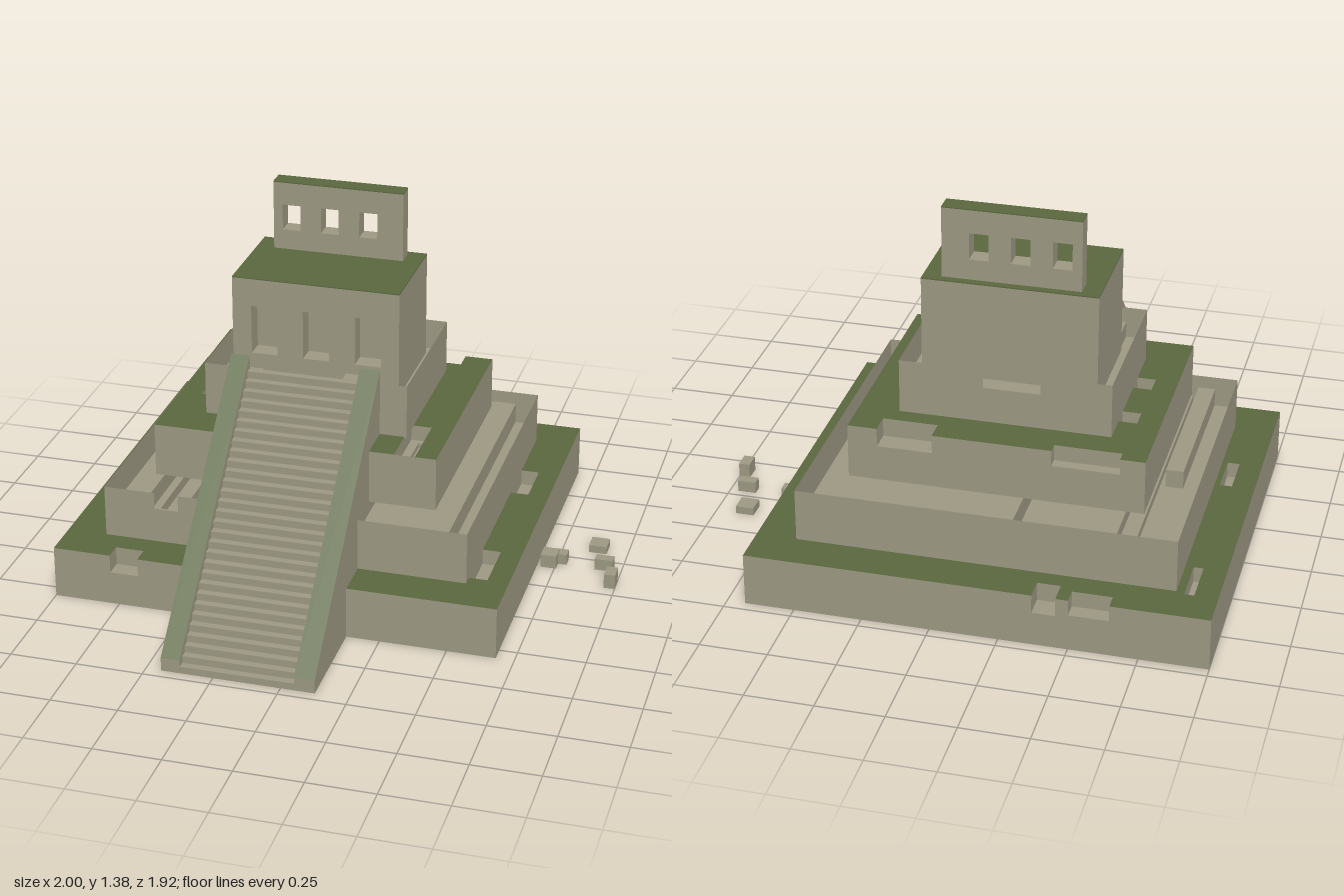
import * as THREE from 'three';

const stone = new THREE.MeshStandardMaterial({ color: 0x9c9782, side: THREE.DoubleSide });
stone.name = 'stone';
const moss = new THREE.MeshStandardMaterial({ color: 0x5a673e, side: THREE.DoubleSide });
moss.name = 'moss';

function add(parent, name, geometry, material) {
  const mesh = new THREE.Mesh(geometry, material);
  mesh.name = name;
  parent.add(mesh);
}

// Box given by its limits on each axis
function block(parent, name, x0, x1, y0, y1, z0, z1, material = stone) {
  const g = new THREE.BoxGeometry(x1 - x0, y1 - y0, z1 - z0);
  g.translate((x0 + x1) / 2, (y0 + y1) / 2, (z0 + z1) / 2);
  add(parent, name, g, material);
}

// Block standing on the ground, open underneath
function shell(parent, name, x0, x1, h, z0, z1, material = stone) {
  const g = new THREE.BoxGeometry(x1 - x0, h, z1 - z0);
  const index = [...g.index.array];
  index.splice(18, 6);
  g.setIndex(index);
  g.clearGroups();
  g.translate((x0 + x1) / 2, h / 2, (z0 + z1) / 2);
  add(parent, name, g, material);
}

function quadGeometry(quads) {
  const p = [];
  for (const [a, b, c, d] of quads) p.push(...a, ...b, ...c, ...a, ...c, ...d);
  const g = new THREE.BufferGeometry();
  g.setAttribute('position', new THREE.Float32BufferAttribute(p, 3));
  g.computeVertexNormals();
  return g;
}

// Hollow tier whose top is sunk by rectangular cuts [x0, x1, z0, z1, depth, opensRim]
function terrace(parent, name, [x0, x1, z0, z1, y0, y1], cuts, mossy) {
  const lines = (lo, hi, values) =>
    [...new Set([lo, hi, ...values])].filter(v => v >= lo && v <= hi).sort((a, b) => a - b);
  const xs = lines(x0, x1, cuts.flatMap(c => [c[0], c[1]]));
  const zs = lines(z0, z1, cuts.flatMap(c => [c[2], c[3]]));
  const cell = (i, j) => {
    if (i < 0 || j < 0 || i >= xs.length - 1 || j >= zs.length - 1) return null;
    const x = (xs[i] + xs[i + 1]) / 2, z = (zs[j] + zs[j + 1]) / 2;
    const r = { h: y1, rim: y1 };
    for (const [a, b, c, d, depth, open] of cuts)
      if (x > a && x < b && z > c && z < d) {
        r.h = y1 - depth;
        if (open) r.rim = r.h;
      }
    return r;
  };
  const faces = [], tops = [];
  // Upright face between two neighbouring cells, facing the lower one
  const wall = (a, b, pa, pb) => {
    if (!a && !b) return;
    const ha = a ? (b ? a.h : a.rim) : y0, hb = b ? (a ? b.h : b.rim) : y0;
    if (Math.abs(ha - hb) < 1e-6) return;
    const lo = Math.min(ha, hb), hi = Math.max(ha, hb);
    const [p, q] = ha > hb ? [pb, pa] : [pa, pb];
    faces.push([[p[0], lo, p[1]], [q[0], lo, q[1]], [q[0], hi, q[1]], [p[0], hi, p[1]]]);
  };
  for (let i = 0; i < xs.length; i++) for (let j = 0; j < zs.length; j++) {
    const c = cell(i, j);
    if (j < zs.length - 1) wall(cell(i - 1, j), c, [xs[i], zs[j]], [xs[i], zs[j + 1]]);
    if (i < xs.length - 1) wall(cell(i, j - 1), c, [xs[i + 1], zs[j]], [xs[i], zs[j]]);
    if (!c) continue;
    (mossy && c.h === y1 ? tops : faces).push([[xs[i], c.h, zs[j]], [xs[i], c.h, zs[j + 1]],
      [xs[i + 1], c.h, zs[j + 1]], [xs[i + 1], c.h, zs[j]]]);
  }
  if (mossy) {
    // Underside of the thick mossy deck
    const y = y0 + 0.1;
    faces.push([[x0, y, z0], [x1, y, z0], [x1, y, z1], [x0, y, z1]]);
    add(parent, name + 'Moss', quadGeometry(tops), moss);
  }
  add(parent, name, quadGeometry(faces), stone);
}

// Upright slab in the xy plane with rectangular openings [x0, x1, y0, y1]
function piercedWall(parent, name, [x0, x1, y0, y1, z0, z1], openings) {
  const path = (P, a, b, c, d) => {
    const s = new P();
    s.moveTo(a, c); s.lineTo(b, c); s.lineTo(b, d); s.lineTo(a, d); s.closePath();
    return s;
  };
  const shape = path(THREE.Shape, x0, x1, y0, y1);
  for (const o of openings) shape.holes.push(path(THREE.Path, ...o));
  const g = new THREE.ExtrudeGeometry(shape, { depth: z1 - z0, bevelEnabled: false });
  g.translate(0, 0, z0);
  add(parent, name, g, stone);
}

// Uneven paving strips running front to back
const strips = (edges, depths, z0, z1) =>
  depths.map((d, i) => [edges[i], edges[i + 1], z0, z1, d, false]);

export function createModel() {
  const model = new THREE.Group();
  model.name = 'steppedPyramid';

  // Four tiers, mossy and bare by turns
  terrace(model, 'firstTier', [-1, 0.682, -0.96, 0.557, 0, 0.2], [
    [-0.645, -0.5, -0.96, -0.9, 0.06, true], [-0.455, -0.37, -0.96, -0.875, 0.07, true],
    [-0.915, -0.88, -0.82, -0.64, 0.06], [-0.915, -0.87, -0.055, 0.115, 0.06],
    [0.533, 0.602, -0.53, -0.335, 0.06], [0.533, 0.602, 0.14, 0.36, 0.06],
    [-0.78, -0.672, 0.49, 0.557, 0.07, true]], true);
  terrace(model, 'secondTier', [-0.85, 0.533, -0.807, 0.403, 0.2, 0.4], [
    ...strips([-0.85, -0.68, -0.65, -0.61, -0.56, -0.25, 0.095, 0.445, 0.533],
      [0.12, 0.09, 0.13, 0.08, 0.12, 0.04, 0.05, 0.13], -0.807, 0.403),
    [-0.765, -0.7, -0.25, 0.403, 0.05],
    [-0.655, -0.563, 0.395, 0.403, 0.065, true]], false);
  terrace(model, 'thirdTier', [-0.7, 0.378, -0.655, 0.252, 0.4, 0.605], [
    [-0.61, -0.365, -0.655, -0.612, 0.06, true], [0.068, 0.27, -0.655, -0.575, 0.07, true],
    [-0.615, -0.547, -0.388, -0.313, 0.06], [-0.615, -0.547, -0.128, -0.048, 0.06],
    [0.22, 0.298, 0, 0.252, 0.06], [0.253, 0.293, 0.02, 0.2, 0.08]], true);
  terrace(model, 'fourthTier', [-0.547, 0.228, -0.507, 0.102, 0.6, 0.81], [
    ...strips([-0.547, -0.47, -0.36, -0.29, -0.04, 0.06, 0.13, 0.228],
      [0.12, 0.06, 0.11, 0.07, 0.04, 0.08, 0.12], -0.507, 0.102),
    [-0.29, -0.08, -0.507, -0.44, 0.07, true]], false);

  // Temple with three recessed doorways
  const temple = new THREE.Group();
  temple.name = 'temple';
  model.add(temple);
  block(temple, 'templeBody', -0.48, 0.162, 0.7, 1.108, -0.44, -0.105);
  piercedWall(temple, 'templeFront', [-0.48, 0.162, 0.7, 1.108, -0.105, -0.032],
    [-0.407, -0.207, -0.007].map(x => [x, x + 0.1, 0.81, 1]));
  block(temple, 'templeRoofMoss', -0.48, 0.162, 1.108, 1.112, -0.44, -0.032, moss);

  // Roof comb with three windows
  piercedWall(temple, 'roofComb', [-0.412, 0.093, 1.11, 1.378, -0.412, -0.343],
    [-0.377, -0.227, -0.077].map(x => [x, x + 0.07, 1.19, 1.29]));
  block(temple, 'roofCombMoss', -0.412, 0.093, 1.378, 1.382, -0.412, -0.343, moss);

  // Stairway
  const stairs = new THREE.Group();
  stairs.name = 'stairway';
  model.add(stairs);
  const count = 30, rise = 0.81 / count, run = 0.857 / count;
  for (let i = 0; i < count; i++)
    shell(stairs, 'step', -0.372, 0.05, (i + 1) * rise, 0.96 - (i + 1) * run, 0.96 - i * run);

  // Sloping side walls with mossy tops, open underneath
  const front = 0.96, back = 0.103, low = 0.052, high = 0.862;
  for (const [x0, x1] of [[-0.443, -0.372], [0.05, 0.126]]) {
    const side = x => [[x, 0, front], [x, 0, back], [x, high, back], [x, low, front]];
    const [a, b] = [side(x0), side(x1)];
    add(stairs, 'sideWall', quadGeometry([
      [...a].reverse(), b, [a[0], b[0], b[3], a[3]], [b[1], a[1], a[2], b[2]]]), stone);
    add(stairs, 'sideWallMoss', quadGeometry([[a[3], b[3], b[2], a[2]]]), moss);
  }

  // Fallen stones
  for (const [x0, x1, z0, z1, h] of [
    [0.696, 0.756, -0.21, -0.145, 0.052], [0.743, 0.789, -0.23, -0.185, 0.042],
    [0.852, 0.921, -0.379, -0.309, 0.03], [0.898, 0.968, -0.22, -0.18, 0.045],
    [0.958, 1, -0.115, -0.05, 0.057]])
    shell(model, 'fallenStone', x0, x1, h, z0, z1);
  shell(model, 'mossyStone', 0.57, 0.63, 0.05, -0.23, -0.17, moss);

  return model;
}
